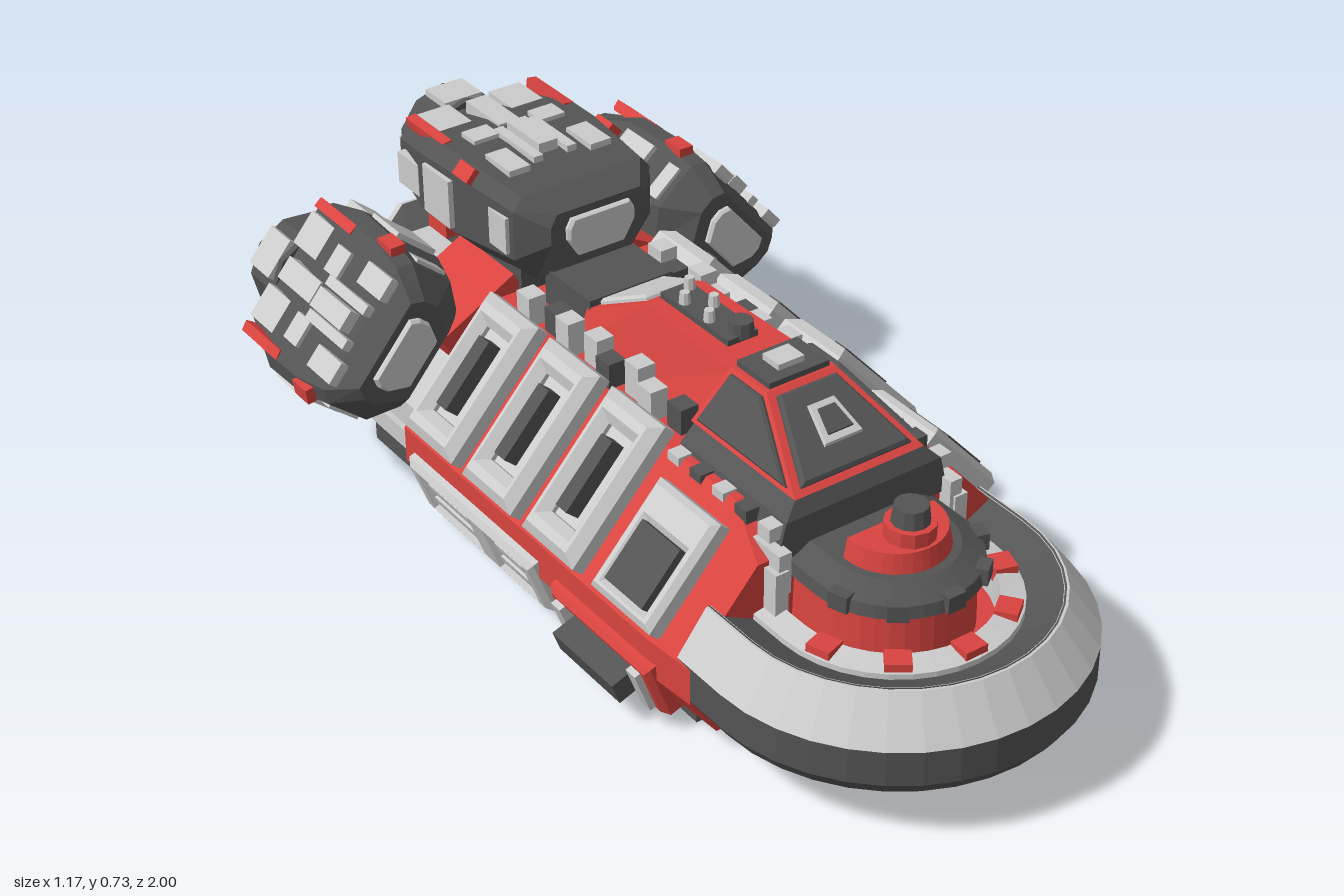
import * as THREE from 'three';

const paint = (color) => new THREE.MeshStandardMaterial({ color, flatShading: true });
const light = paint(0xcccccc), dark = paint(0x545454), red = paint(0xd9443f);

function add(parent, name, geo, mat, x = 0, y = 0, z = 0) {
  const m = new THREE.Mesh(geo, mat);
  m.name = name;
  m.position.set(x, y, z);
  parent.add(m);
  return m;
}
const box = (p, name, mat, w, h, d, x, y, z) => add(p, name, new THREE.BoxGeometry(w, h, d), mat, x, y, z);
const cyl = (p, name, mat, r1, r2, h, n, x, y, z) => add(p, name, new THREE.CylinderGeometry(r1, r2, h, n), mat, x, y, z);
const points = (list) => list.map(([x, y]) => new THREE.Vector2(x, y));

// Skin a row of equal point loops, cap both ends, and turn the faces outward
function loft(loops) {
  const tris = [], n = loops[0].length, e = loops[loops.length - 1];
  for (let i = 0; i + 1 < loops.length; i++) for (let j = 0; j < n; j++) {
    const k = (j + 1) % n, a = loops[i], b = loops[i + 1];
    tris.push([a[j], a[k], b[k]], [a[j], b[k], b[j]]);
  }
  for (let j = 1; j < n - 1; j++) tris.push([loops[0][0], loops[0][j + 1], loops[0][j]], [e[0], e[j], e[j + 1]]);
  const from = (p) => new THREE.Vector3(...p).sub(new THREE.Vector3(...e[0]));
  const volume = tris.reduce((s, t) => s + from(t[0]).dot(from(t[1]).cross(from(t[2]))), 0);
  if (volume < 0) tris.forEach((t) => t.reverse());
  const g = new THREE.BufferGeometry();
  g.setAttribute('position', new THREE.Float32BufferAttribute(tris.flat(2), 3));
  g.computeVertexNormals();
  return g;
}

// Right half outline (bottom to top) mirrored into a loop; z may depend on y
const section = (half, z) => [...half, ...half.map(([x, y]) => [-x, y]).reverse()]
  .map(([x, y]) => [x, y, typeof z === 'function' ? z(y) : z]);

// Raised bevelled plate on a polygon, shrunk inside its outline
function plate(p, name, mat, corners, inset, height) {
  const v = corners.map((c) => new THREE.Vector3(...c));
  const mid = v.reduce((s, q) => s.add(q), new THREE.Vector3()).divideScalar(v.length);
  const nor = v[1].clone().sub(v[0]).cross(v[2].clone().sub(v[0])).normalize();
  const ring = (k, h) => v.map((q) => mid.clone().lerp(q, k).addScaledVector(nor, h).toArray());
  add(p, name, loft([ring(inset, -0.01), ring(inset, height * 0.5), ring(inset * 0.93, height)]), mat);
}

// Sweep an (r, y) profile around the rounded bow, with straight ends back to zEnd
function bow(p, name, mat, zEnd, profile) {
  const at = (t, z) => profile.map(([r, y]) => [r * Math.cos(t), y, z ?? 0.61 + r * Math.sin(t)]);
  const arc = Array.from({ length: 19 }, (_, i) => at((Math.PI * i) / 18));
  add(p, name, loft([at(0, zEnd), ...arc, at(Math.PI, zEnd)]), mat);
}

// Bevelled frame with rectangular openings [x, y, halfWidth, halfHeight]
function frame(p, name, mat, w, h, d, holes, bevel = 0.012) {
  const rect = (x, y, a, b) => points([[x - a, y - b], [x + a, y - b], [x + a, y + b], [x - a, y + b]]);
  const s = new THREE.Shape(rect(0, 0, w / 2, h / 2));
  s.holes = holes.map((q) => new THREE.Path(rect(...q).reverse()));
  return add(p, name, new THREE.ExtrudeGeometry(s, {
    depth: d, bevelSize: bevel, bevelOffset: -bevel, bevelThickness: bevel, bevelSegments: 1 }), mat);
}

// Group on a flank whose local z points outward, tilted up by a
function flank(p, name, s, x, y, z, a) {
  const g = new THREE.Group();
  g.name = name;
  g.position.set(s * x, y, z);
  g.rotation.set(-a, (s * Math.PI) / 2, 0, 'YXZ');
  p.add(g);
  return g;
}

// Engine pod, its axis along z through the nozzle
function enginePod(p, name, nose, x, y, tilt) {
  const g = new THREE.Group();
  g.name = name;
  g.position.set(x, y, 0);
  g.rotation.z = tilt;
  p.add(g);
  const slice = (w, b, t, z) => section([[w * 0.68, b], [w, b + 0.06], [w, t - 0.028], [w * 0.86, t]], z);
  const rows = [slice(0.115, -0.03, 0.095, nose), slice(0.165, -0.075, 0.122, nose - 0.06),
    slice(0.183, -0.095, 0.13, -0.58), slice(0.187, -0.095, 0.126, -0.7), slice(0.155, -0.09, 0.09, -0.84)];
  add(g, 'podBody', loft(rows), dark);
  plate(g, 'noseFace', light, rows[0], 0.7, 0.012);
  for (const s of [1, -1]) {
    for (const [part, mat, x0, y0, x1, y1, za, zb] of [
      ['roofPlate', light, 0.125, 0.129, 0.07, 0.129, -0.46, -0.56], ['roofPlateRear', light, 0.13, 0.11, 0.045, 0.11, -0.71, -0.82],
      ['shoulderPlate', red, 0.16, 0.118, 0.135, 0.122, -0.65, -0.81], ['shoulderTag', red, 0.183, 0.1, 0.158, 0.128, -0.52, -0.58],
      ['sidePanel', light, 0.185, -0.03, 0.185, 0.09, -0.58, -0.69], ['sidePanelRear', light, 0.173, -0.02, 0.173, 0.06, -0.72, -0.81],
      ['noseCheek', light, 0.165, -0.01, 0.165, 0.08, nose - 0.07, nose - 0.14]]) {
      const quad = [[s * x0, y0, za], [s * x0, y0, zb], [s * x1, y1, zb], [s * x1, y1, za]];
      plate(g, part, mat, s > 0 ? quad.reverse() : quad, 0.9, 0.014);
    }
    box(g, 'lowerTag', red, 0.04, 0.03, 0.07, s * 0.15, -0.068, -0.68);
    box(g, 'roofRail', light, 0.022, 0.02, 0.15, s * 0.04, 0.13, -0.56);
    box(g, 'crossBar', light, 0.06, 0.016, 0.05, s * 0.08, 0.13, -0.64);
    box(g, 'nozzleBlock', light, 0.03, 0.06, 0.06, s * 0.105, 0, -0.875);
  }
  box(g, 'spineFin', light, 0.045, 0.04, 0.12, 0, 0.13, -0.57);
  box(g, 'spineFinRear', light, 0.05, 0.03, 0.13, 0, 0.118, -0.72);
  box(g, 'nozzleTop', light, 0.09, 0.035, 0.08, 0, 0.095, -0.875);
  cyl(g, 'nozzle', dark, 0.112, 0.112, 0.1, 10, 0, 0, -0.87).rotation.x = Math.PI / 2;
  cyl(g, 'nozzleDisc', light, 0.103, 0.108, 0.012, 10, 0, 0, -0.924).rotation.x = -Math.PI / 2;
}

export function createModel() {
  const ship = new THREE.Group();
  ship.name = 'spaceship';

  // Hull, keel and stern block
  const hull = [[0.33, 0.04], [0.4, 0.14], [0.4, 0.22], [0.2, 0.45]], keel = [[0.16, 0.025], [0.22, 0.06]];
  const stern = [[0.27, 0.075], [0.35, 0.16], [0.35, 0.22], [0.18, 0.44]], tail = [[0.25, 0.1], [0.34, 0.17], [0.34, 0.22], [0.085, 0.4]];
  const prow = [[0.33, 0.05], [0.39, 0.14], [0.39, 0.22], [0.24, 0.39]];
  add(ship, 'hull', loft([section(prow, 0.52), section(hull, 0.4), section(hull, -0.46)]), red);
  add(ship, 'keel', loft([section(keel.map(([x, y]) => [x * 0.6, y]), 0.42), section(keel, 0.2), section(keel, -0.4)]), red);
  add(ship, 'sternBlock', loft([section(stern, -0.44), section(stern, -0.8)]), light);
  add(ship, 'sternHousing', loft([section(stern, -0.79), section(tail, (y) => -0.975 + (0.4 - y) * 0.45)]), dark);
  box(ship, 'enginePedestal', dark, 0.24, 0.1, 0.36, 0, 0.46, -0.62);
  box(ship, 'aftDeck', dark, 0.2, 0.1, 0.16, 0, 0.48, -0.3);

  // Slanted stern frame with recessed windows
  const rear = flank(ship, 'sternFrame', 0, 0, 0.12, -0.849, -0.423);
  rear.rotation.y = Math.PI;
  const outline = (k) => points(section(tail.map(([x, y]) => [x * k, (0.12 + (y - 0.24) * k) * 1.097]), 0));
  const rim = new THREE.Shape(outline(1));
  rim.holes.push(new THREE.Path(outline(0.76)));
  add(rear, 'rim', new THREE.ExtrudeGeometry(rim, { depth: 0.025, bevelEnabled: false }), light);
  for (const s of [1, -1]) {
    frame(rear, 'windowFrame', light, 0.16, 0.065, 0.005, [[0, 0, 0.065, 0.02]], 0.005).position.set(s * 0.095, 0.06, 0);
    box(rear, 'windowBar', light, 0.1, 0.015, 0.012, s * 0.095, 0.06, 0.003);
  }
  for (const [w, y] of [[0.36, 0.115], [0.2, 0.18]]) box(rear, 'ledge', dark, w, 0.02, 0.04, 0, y, 0.01);

  // Underside hatches, steps and landing feet
  for (const z of [0.08, -0.16]) {
    frame(ship, 'bellyHatch', red, 0.2, 0.16, 0.005, [[0, 0, 0.055, 0.035]]).rotation.x = Math.PI / 2;
    ship.children.at(-1).position.set(0, 0.03, z);
    box(ship, 'hatchFloor', dark, 0.1, 0.01, 0.07, 0, 0.024, z);
  }
  box(ship, 'sternStep', light, 0.3, 0.05, 0.22, 0, 0.07, -0.62);
  box(ship, 'sternStepLow', dark, 0.18, 0.03, 0.12, 0, 0.05, -0.62);

  // Rounded bow ring with an inner trim
  bow(ship, 'ringLower', dark, 0.48, [[0.27, 0.12], [0.37, 0.12], [0.39, 0.15], [0.39, 0.225], [0.27, 0.225]]);
  bow(ship, 'ringUpper', light, 0.48, [[0.3, 0.225], [0.39, 0.225], [0.325, 0.31], [0.315, 0.31]]);
  bow(ship, 'ringInner', dark, 0.48, [[0.235, 0.2], [0.3, 0.2], [0.32, 0.312], [0.25, 0.275]]);
  bow(ship, 'bowFloor', red, 0.48, [[0.001, 0.14], [0.28, 0.14], [0.27, 0.23], [0.001, 0.23]]);
  bow(ship, 'bowTrim', light, 0.4, [[0.195, 0.22], [0.25, 0.22], [0.248, 0.285], [0.2, 0.295]]);
  for (let i = 0; i < 5; i++) {
    const t = Math.PI * (0.1 + 0.2 * i), c = Math.cos(t), n = Math.sin(t);
    box(ship, 'trimBlock', red, 0.045, 0.035, 0.05, 0.22 * c, 0.285, 0.61 + 0.22 * n).rotation.y = -t;
    box(ship, 'collarTooth', dark, 0.025, 0.035, 0.04, 0.17 * c, 0.367, 0.61 + 0.17 * n).rotation.y = -t;
  }

  // Bow turret and the cone beneath it
  bow(ship, 'turretBase', red, 0.5, [[0.001, 0.22], [0.16, 0.22], [0.155, 0.36], [0.001, 0.36]]);
  bow(ship, 'turretCollar', dark, 0.5, [[0.001, 0.35], [0.175, 0.35], [0.17, 0.375], [0.125, 0.4], [0.001, 0.4]]);
  bow(ship, 'turretTop', red, 0.6, [[0.001, 0.39], [0.11, 0.39], [0.1, 0.44], [0.001, 0.44]]);
  for (const [name, mat, r1, r2, h, y, z] of [['turretNeck', red, 0.05, 0.05, 0.04, 0.45, 0.655], ['turretCap', dark, 0.033, 0.038, 0.04, 0.485, 0.655],
    ['coneMount', red, 0.16, 0.14, 0.05, 0.12, 0.64], ['coneHousing', light, 0.13, 0.112, 0.04, 0.08, 0.64],
    ['cone', light, 0.1, 0.035, 0.06, 0.03, 0.64]]) cyl(ship, name, mat, r1, r2, h, 12, 0, y, z);

  // Cockpit with framed windows
  const rect = (w, y, z0, z1) => [[w, y, z0], [-w, y, z0], [-w, y, z1], [w, y, z1]];
  const lo = rect(0.15, 0.49, 0.51, 0.19), hi = rect(0.08, 0.6, 0.33, 0.22);
  add(ship, 'cockpitBase', loft([rect(0.2, 0.38, 0.525, 0.2), rect(0.18, 0.46, 0.525, 0.2), rect(0.15, 0.49, 0.51, 0.2)]), dark);
  add(ship, 'cockpit', loft([lo, hi]), red);
  [[1, 0], [0, 3], [2, 1]].forEach(([a, b]) => plate(ship, 'cockpitWindow', dark, [lo[a], lo[b], hi[b], hi[a]], 0.85, 0.012));
  plate(ship, 'windshieldHatch', light, [[-0.045, 0.525, 0.453], [0.045, 0.525, 0.453], [0.03, 0.57, 0.379], [-0.03, 0.57, 0.379]], 1, 0.02);
  plate(ship, 'windshieldPane', dark, [[-0.03, 0.533, 0.44], [0.03, 0.533, 0.44], [0.02, 0.562, 0.392], [-0.02, 0.562, 0.392]], 1, 0.025);
  box(ship, 'roofHatch', dark, 0.14, 0.025, 0.1, 0, 0.6, 0.275);
  box(ship, 'roofHatchCap', light, 0.06, 0.02, 0.05, 0, 0.615, 0.275);

  // Raised red spine and its fittings
  add(ship, 'spine', loft([section([[0.14, 0.43], [0.08, 0.59]], 0.23), section([[0.11, 0.43], [0.07, 0.59]], -0.07),
    section([[0.13, 0.43], [0.1, 0.51]], -0.23)]), red);
  plate(ship, 'spineRearPlate', light, [[-0.07, 0.59, -0.07], [0.07, 0.59, -0.07], [0.1, 0.51, -0.23], [-0.1, 0.51, -0.23]], 0.78, 0.012);
  box(ship, 'spineStrip', dark, 0.07, 0.02, 0.22, 0, 0.593, 0.04);
  cyl(ship, 'domeMount', dark, 0.024, 0.028, 0.03, 10, 0.01, 0.61, 0.13);
  for (let i = 0; i < 4; i++) cyl(ship, 'spineStud', light, 0.01, 0.013, 0.035, 8, i % 2 ? 0.02 : -0.02, 0.61, 0.07 - i * 0.04);

  for (const s of [1, -1]) {
    // Feet, deck rails and fittings
    box(ship, 'frontFoot', dark, 0.15, 0.06, 0.19, s * 0.235, 0.03, 0.335);
    box(ship, 'rearFoot', dark, 0.15, 0.05, 0.22, s * 0.235, 0.025, -0.64);
    box(ship, 'rearFootStep', light, 0.17, 0.045, 0.25, s * 0.23, 0.07, -0.64);
    box(ship, 'deckRail', light, 0.028, 0.09, 0.36, s * 0.2, 0.37, 0.37);
    box(ship, 'railEnd', light, 0.03, 0.1, 0.05, s * 0.21, 0.33, 0.53);
    for (let i = 0; i < 8; i++) {
      box(ship, 'deckFitting', i % 3 ? light : dark, 0.04, 0.06 + 0.02 * (i % 3), 0.045, s * (0.14 + 0.02 * (i % 2)), 0.475, 0.15 - i * 0.07);
      if (i < 5) box(ship, 'railClip', i % 2 ? dark : light, 0.045, 0.03, 0.035, s * 0.19, 0.44, 0.5 - i * 0.07);
    }

    // Vented flank panels: three large, one small
    for (const z of [0.1, -0.115, -0.33]) {
      const g = flank(ship, 'flankPanel', s, 0.292, 0.357, z, 0.735);
      frame(g, 'panelFrame', light, 0.175, 0.32, 0.03, [[0, 0, 0.04, 0.1]], 0.02);
      box(g, 'panelFloor', light, 0.12, 0.23, 0.02, 0, 0, 0.01);
      box(g, 'panelVane', dark, 0.035, 0.16, 0.04, 0, 0, 0.036);
    }
    const g = flank(ship, 'frontPanel', s, 0.31, 0.32, 0.33, 0.735);
    frame(g, 'panelFrame', light, 0.19, 0.24, 0.03, [[0, -0.025, 0.06, 0.065]]);
    box(g, 'panelDoor', dark, 0.12, 0.13, 0.05, 0, -0.025, 0.022);

    // Lower flank pods
    const f = flank(ship, 'lowerFrontPod', s, 0.36, 0.115, 0.26, -0.35);
    frame(f, 'podFrame', red, 0.33, 0.135, 0.03, [[0, 0, 0.12, 0.035]]);
    box(f, 'podCore', dark, 0.2, 0.05, 0.1, 0, 0, 0.04);
    for (const e of [1, -1]) box(f, 'podBand', light, 0.03, 0.1, 0.06, e * 0.125, 0, 0.025);
    const r = flank(ship, 'lowerRearPod', s, 0.365, 0.115, -0.195, -0.35);
    frame(r, 'podFrame', light, 0.46, 0.14, 0.025, [[-0.1, 0, 0.085, 0.045], [0.125, 0, 0.06, 0.045]]);
    for (const [x, w] of [[-0.1, 0.17], [0.125, 0.12]]) {
      box(r, 'podFloor', dark, w + 0.01, 0.1, 0.02, x, 0, 0.002);
      for (const y of [0.02, -0.02]) box(r, 'podSlat', light, w - 0.02, 0.018, 0.035, x, y, 0.014);
    }

    // Side engines, canted outward on pylons
    enginePod(ship, 'sideEngine', -0.43, s * 0.375, 0.385, -s * 0.87);
    box(ship, 'enginePylon', red, 0.2, 0.08, 0.2, s * 0.2, 0.41, -0.55).rotation.z = -s * 0.5;
  }
  enginePod(ship, 'topEngine', -0.33, 0, 0.58, 0);
  return ship;
}
